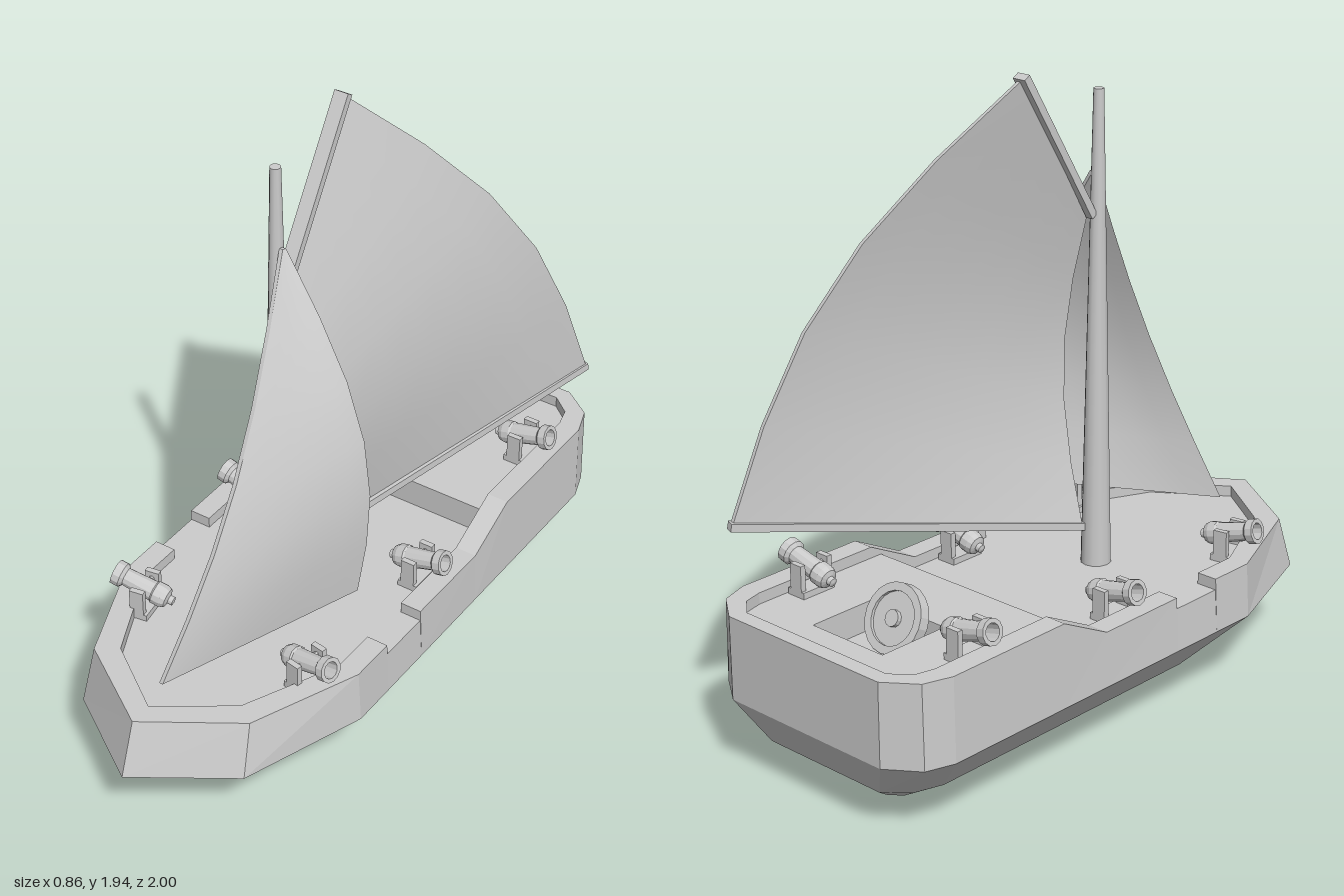
import * as THREE from 'three';

const flat = new THREE.MeshStandardMaterial({ color: 0xcccccc, flatShading: true, side: THREE.DoubleSide });
const smooth = new THREE.MeshStandardMaterial({ color: 0xcccccc });
const lerp = THREE.MathUtils.lerp;
const V = (x, y, z) => new THREE.Vector3(x, y, z);
const DECK = 0.375, UPPER = 0.465;

function add(parent, name, geometry, material = flat) {
  const mesh = new THREE.Mesh(geometry, material);
  mesh.name = name;
  parent.add(mesh);
  return mesh;
}

// Half outlines [x, z] from bow to stern
const keel = [[0, 0.26], [0.1, 0.17], [0.16, 0], [0.16, -0.69], [0.14, -0.76], [0.1, -0.79]];
const bilge = [[0, 0.7], [0.19, 0.58], [0.32, 0.23], [0.32, -0.78], [0.29, -0.87], [0.22, -0.93]];
const waist = [[0, 1], [0.29, 0.81], [0.43, 0.42], [0.43, -0.84], [0.4, -0.93], [0.3, -1]];
const rail = [[0, 0.94], [0.278, 0.76], [0.42, 0.42], [0.425, -0.84], [0.395, -0.93], [0.3, -1]];
const inner = [[0, 0.865], [0.215, 0.715], [0.352, 0.42], [0.355, -0.84], [0.34, -0.9], [0.28, -0.95]];
// Stations along the straight side: boarding gap, then the rise to the stern
const stations = [0.27, 0.27, 0.09, 0.09, -0.22, -0.4];
const railHeights = [0.41, 0.41, 0.41, 0.41, DECK, DECK, 0.41, 0.41, 0.5, 0.5, 0.5, 0.5];

// Full closed loop: left half plus its mirror
function hullLoop(outline, height) {
  const [a, b] = [outline[2], outline[3]];
  const mid = stations.map(z => {
    const t = (0.42 - z) / 1.26;
    return [lerp(a[0], b[0], t), lerp(a[1], b[1], t)];
  });
  const half = [...outline.slice(0, 3), ...mid, ...outline.slice(3)]
    .map(([x, z], i) => V(x, Array.isArray(height) ? height[i] : height, z));
  return [...half, ...half.map(p => V(-p.x, p.y, p.z)).reverse()];
}

function hullGeometry() {
  const loops = [hullLoop(keel, 0), hullLoop(bilge, 0.11), hullLoop(waist, 0.24),
    hullLoop(rail, railHeights), hullLoop(inner, railHeights), hullLoop(inner, DECK)];
  const pos = [];
  const quad = (a, b, c, d) => [a, b, c, a, c, d].forEach(p => pos.push(p.x, p.y, p.z));
  const n = loops[0].length;
  for (let k = 0; k < loops.length - 1; k++) {
    const [A, B] = [loops[k], loops[k + 1]];
    for (let i = 0; i < n; i++) {
      const j = (i + 1) % n;
      quad(A[i], A[j], B[j], B[i]);
    }
  }
  // Bottom and main deck
  const [base, top] = [loops[0], loops[5]];
  for (let i = 0; i < n / 2 - 1; i++) {
    const [r, s] = [n - 1 - i, n - 2 - i];
    quad(base[r], base[s], base[i + 1], base[i]);
    quad(top[i], top[i + 1], top[s], top[r]);
  }
  const g = new THREE.BufferGeometry();
  g.setAttribute('position', new THREE.Float32BufferAttribute(pos, 3));
  g.computeVertexNormals();
  return g;
}

// Raised stern deck with a steering well
function quarterDeckGeometry() {
  const half = [[0.355, -0.36], ...inner.slice(3)];
  const outline = [...half, ...half.map(([x, z]) => [-x, z]).reverse()];
  const shape = new THREE.Shape(outline.map(([x, z]) => new THREE.Vector2(x, -z)));
  const well = [[-0.14, 0.59], [-0.14, 0.83], [0.14, 0.83], [0.14, 0.59]];
  shape.holes.push(new THREE.Path(well.map(([x, y]) => new THREE.Vector2(x, y))));
  return new THREE.ExtrudeGeometry(shape, { depth: UPPER - DECK, bevelEnabled: false })
    .rotateX(-Math.PI / 2).translate(0, DECK, 0);
}

// Thin sail between a front edge and a rear edge, both given as functions of height 0..1
function sailGeometry(front, rear, rows, camber) {
  const g = new THREE.BoxGeometry(1, 1, 1, 6, rows, 1);
  const p = g.attributes.position;
  for (let i = 0; i < p.count; i++) {
    const u = p.getX(i) + 0.5, v = p.getY(i) + 0.5;
    const q = front(v).lerp(rear(v), u);
    q.x += p.getZ(i) * 0.012 + camber * Math.sin(Math.PI * u) * Math.sin(Math.PI * v);
    p.setXYZ(i, q.x, q.y, q.z);
  }
  g.computeVertexNormals();
  return g;
}

// Edge from a to b, bowed by the given offset at its middle
const edge = (a, b, bow) => v => a.clone().lerp(b, v).addScaledVector(bow, Math.sin(Math.PI * v));

function beam(parent, name, a, b, w, h) {
  const m = add(parent, name, new THREE.BoxGeometry(w, h, a.distanceTo(b)));
  m.position.copy(a).lerp(b, 0.5);
  m.lookAt(b);
}

const lathe = (profile, sides) =>
  new THREE.LatheGeometry(profile.map(([r, y]) => new THREE.Vector2(r, y)), sides);

// Cannon with its muzzle towards +x
function cannon() {
  const g = new THREE.Group();
  const barrel = add(g, 'barrel', lathe([[0, -0.1], [0.014, -0.096], [0.014, -0.082], [0.03, -0.076],
    [0.036, -0.06], [0.036, -0.035], [0.032, -0.03], [0.028, 0.065], [0.039, 0.075], [0.039, 0.1],
    [0.026, 0.1], [0.024, 0.04], [0, 0.04]], 12));
  barrel.rotation.z = -Math.PI / 2 + 0.26;
  barrel.position.y = 0.077;
  add(g, 'carriageBase', new THREE.BoxGeometry(0.065, 0.02, 0.12)).position.y = 0.01;
  for (const s of [-1, 1])
    add(g, 'carriageCheek', new THREE.BoxGeometry(0.045, 0.1, 0.018)).position.set(0, 0.05, s * 0.051);
  add(g, 'axle', new THREE.CylinderGeometry(0.009, 0.009, 0.11, 8).rotateX(Math.PI / 2)).position.y = 0.077;
  return g;
}

export function createModel() {
  const ship = new THREE.Group();
  ship.name = 'sailingShip';
  add(ship, 'hull', hullGeometry());
  add(ship, 'quarterDeck', quarterDeckGeometry());

  // Mast and spars
  add(ship, 'mast', new THREE.CylinderGeometry(0.016, 0.047, 1.475, 12), smooth)
    .position.set(-0.015, DECK + 0.7375, 0.19);
  beam(ship, 'gaff', V(-0.003, 1.475, 0.165), V(-0.003, 1.935, -0.12), 0.045, 0.024);
  beam(ship, 'boom', V(0, 0.495, 0.165), V(0.4, 0.712, -0.9), 0.03, 0.024);

  // Sails
  add(ship, 'mainSail', sailGeometry(
    edge(V(0, 0.5, 0.14), V(0, 1.47, 0.15), V(0.085, 0, 0)),
    edge(V(0.4, 0.72, -0.89), V(0, 1.925, -0.12), V(0.085, 0.05, -0.09)), 5, 0.01), smooth);
  add(ship, 'foreSail', sailGeometry(
    edge(V(-0.027, 0.41, 0.77), V(0.008, 1.6, 0.2), V(0.07, 0, 0.025)),
    edge(V(0.29, 0.54, 0.24), V(0.012, 1.6, 0.19), V(0.14, 0, 0)), 6, 0.03), smooth);

  // Steering wheel, tilted towards the stern
  const wheel = new THREE.Group();
  wheel.name = 'steeringWheel';
  add(wheel, 'wheelRim', lathe([[0.08, -0.018], [0.105, -0.018], [0.105, 0.018], [0.08, 0.018],
    [0.08, -0.018]], 20));
  add(wheel, 'wheelDisc', new THREE.CylinderGeometry(0.082, 0.082, 0.016, 20));
  add(wheel, 'wheelHub', new THREE.CylinderGeometry(0.025, 0.025, 0.045, 12));
  add(wheel, 'wheelShaft', new THREE.CylinderGeometry(0.015, 0.015, 0.08, 8)).position.y = -0.04;
  wheel.position.set(0, 0.462, -0.64);
  wheel.rotation.x = -1.08;
  ship.add(wheel);

  // Three mirrored pairs of cannons: x, deck height, z, swing
  for (const [x, y, z, swing] of [[0.29, DECK, 0.495, 0.17], [0.31, DECK, -0.07, 0], [0.315, UPPER, -0.675, 0]])
    for (const s of [1, -1]) {
      const c = cannon();
      c.name = s > 0 ? 'leftCannon' : 'rightCannon';
      c.position.set(s * x, y, z);
      c.rotation.y = s > 0 ? -swing : Math.PI + swing;
      ship.add(c);
    }
  return ship;
}
